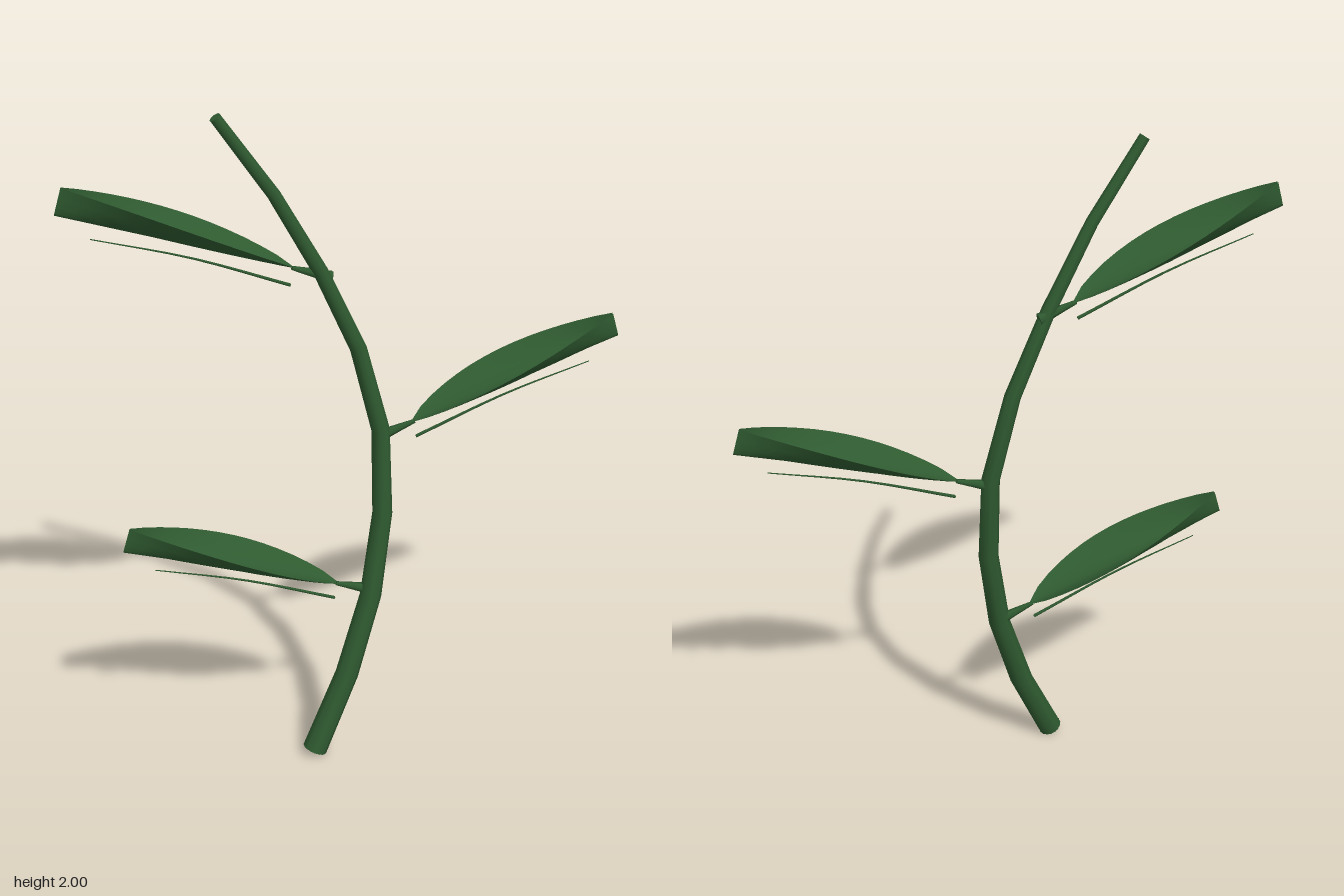
import * as THREE from 'three';

const V = (x, y, z) => new THREE.Vector3(x, y, z);

// Tube along a curve whose radius runs from r0 to r1, closed at both ends
function taperedTube(points, r0, r1, segments, sides, material, name) {
  const curve = new THREE.CatmullRomCurve3(points);
  const geo = new THREE.TubeGeometry(curve, segments, 1, sides, false);
  const pos = geo.attributes.position;
  const p = V();
  for (let i = 0; i < pos.count; i++) {
    const t = Math.floor(i / (sides + 1)) / segments;
    const c = curve.getPointAt(t);
    p.fromBufferAttribute(pos, i).sub(c).multiplyScalar(r0 + (r1 - r0) * t).add(c);
    pos.setXYZ(i, p.x, p.y, p.z);
  }
  const group = new THREE.Group();
  group.name = name;
  const body = new THREE.Mesh(geo, material);
  body.name = name + 'Body';
  group.add(body);
  for (const [t, r, sign] of [[0, r0, -1], [1, r1, 1]]) {
    const cap = new THREE.Mesh(new THREE.CircleGeometry(r, sides), material);
    cap.name = name + 'End';
    cap.position.copy(curve.getPointAt(t));
    cap.quaternion.setFromUnitVectors(V(0, 0, 1), curve.getTangentAt(t).multiplyScalar(sign));
    group.add(cap);
  }
  return group;
}

// Cupped blade along +x: pointed in plan, rims raised above the midline
function bladeGeometry(length) {
  const geo = new THREE.PlaneGeometry(1, 2, 14, 8);
  const pos = geo.attributes.position;
  for (let i = 0; i < pos.count; i++) {
    const t = pos.getX(i) + 0.5;
    const u = pos.getY(i);
    const width = 0.095 * Math.pow(Math.max(0, Math.sin(Math.PI * Math.pow(t, 0.85))), 0.85) + 0.003;
    const cup = 0.076 * Math.sin(Math.PI / 2 * Math.pow(t, 0.8));
    pos.setXYZ(i, t * length, cup * Math.pow(Math.abs(u), 1.7), -u * width);
  }
  geo.computeVertexNormals();
  return geo;
}

export function createModel() {
  const leafGreen = new THREE.MeshStandardMaterial({ color: 0x2f5a30, side: THREE.DoubleSide });
  leafGreen.name = 'leafGreen';

  const model = new THREE.Group();
  model.name = 'leafyBranch';

  // Curved stem, thinner towards the top
  model.add(taperedTube([
    V(-0.115, 0.015, 0.148), V(-0.015, 0.27, 0.08), V(0.05, 0.515, 0.03),
    V(0.08, 0.77, -0.01), V(0.075, 1.015, -0.025), V(0.02, 1.26, -0.015),
    V(-0.075, 1.5, 0.025), V(-0.2, 1.755, 0.085), V(-0.35, 1.992, 0.148),
  ], 0.038, 0.016, 8, 8, leafGreen, 'stem'));

  // Alternating leaves: node position and heading
  const blade = bladeGeometry(0.668);
  const heading = 0.337;
  const leaves = [
    [V(0.041, 0.527, 0.022), heading + Math.PI],
    [V(0.075, 1.02, -0.025), heading],
    [V(-0.075, 1.523, 0.02), heading + Math.PI],
  ];
  for (const [node, yaw] of leaves) {
    const leaf = new THREE.Group();
    leaf.name = 'leaf';
    leaf.position.copy(node);
    leaf.rotation.y = yaw;

    // Short stalk joining the blade to the stem
    leaf.add(taperedTube([V(-0.01, -0.005, 0), V(0.045, 0.014, 0), V(0.1, 0.032, 0)],
      0.018, 0.006, 2, 6, leafGreen, 'leafStalk'));

    // Blade with a fine rib hanging just below it
    const raised = new THREE.Group();
    raised.name = 'leafBlade';
    raised.position.set(0.09, 0.03, 0);
    raised.rotation.z = 0.31;
    const sheet = new THREE.Mesh(blade, leafGreen);
    sheet.name = 'blade';
    raised.add(sheet);
    raised.add(taperedTube([V(0, -0.05, 0), V(0.29, -0.034, 0), V(0.562, -0.042, 0)],
      0.005, 0.0015, 8, 5, leafGreen, 'midrib'));
    leaf.add(raised);
    model.add(leaf);
  }
  return model;
}
